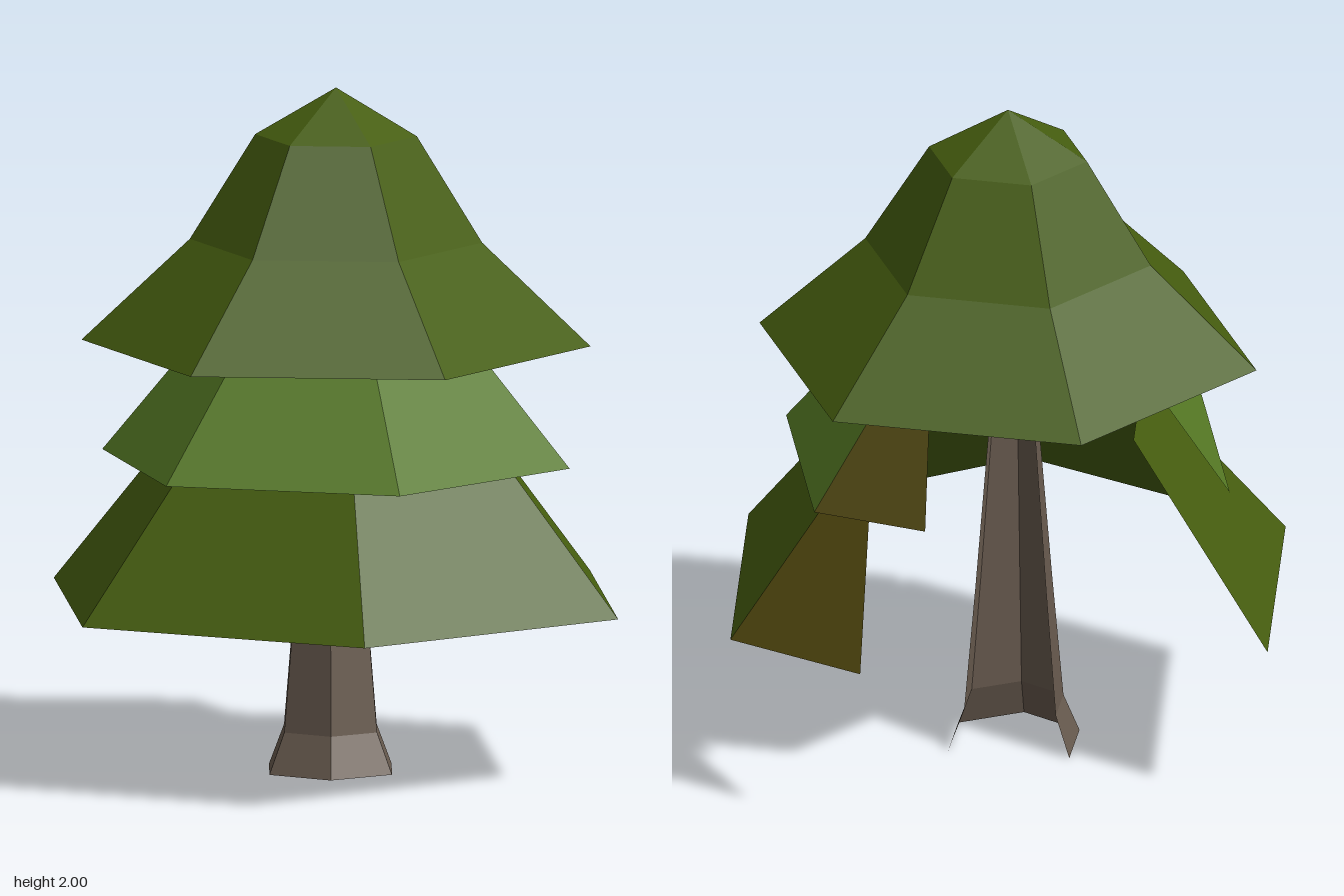
import * as THREE from 'three';

const DEG = Math.PI / 180;

function flat(name, color) {
  const m = new THREE.MeshStandardMaterial({ color, flatShading: true, side: THREE.DoubleSide });
  m.name = name;
  return m;
}

// Point on a ring; angle runs from +x towards +z
function ringPoint(angle, y, r) {
  return new THREE.Vector3(r * Math.cos(angle * DEG), y, r * Math.sin(angle * DEG));
}

// Faceted open shell: each face spans 60 degrees, ending at lastAngle
function shell(name, profile, lastAngle, faces, material) {
  const points = profile.map(([y, r]) => new THREE.Vector2(r, y));
  const geometry = new THREE.LatheGeometry(points, faces, (90 - lastAngle) * DEG, faces * 60 * DEG);
  const mesh = new THREE.Mesh(geometry, material);
  mesh.name = name;
  return mesh;
}

// Triangular flap beside the opening at the back of a skirt
function flap(name, [[y0, r0], [y1, r1]], angle, material) {
  const corner = ringPoint(angle, y0, r0);
  const middle = corner.clone().lerp(ringPoint(angle - 60, y0, r0), 0.5);
  const geometry = new THREE.BufferGeometry().setFromPoints([corner, middle, ringPoint(angle, y1, r1)]);
  geometry.computeVertexNormals();
  const mesh = new THREE.Mesh(geometry, material);
  mesh.name = name;
  return mesh;
}

export function createModel() {
  const bark = flat('bark brown', 0x6a5c50);
  const olive = flat('olive foliage', 0x465e0f);
  const green = flat('light green foliage', 0x567a24);
  const brown = flat('olive brown', 0x4c430d);

  const tree = new THREE.Group();
  tree.name = 'tree';

  // Trunk with a flared foot, open towards the back
  const trunk = shell('trunk', [[0, 0.205], [0.12, 0.155], [0.5, 0.12], [1.03, 0.075]], 185, 4, bark);
  trunk.position.set(-0.012, 0, 0.012);
  tree.add(trunk);

  // Two lower skirts, open at the back
  const skirts = [
    { name: 'lowerSkirt', profile: [[0.5, 0.9], [1.06, 0.435]], angle: 180, material: olive },
    { name: 'middleSkirt', profile: [[0.91, 0.7], [1.43, 0.27]], angle: 170, material: green },
  ];
  for (const { name, profile, angle, material } of skirts) {
    tree.add(shell(name, profile, angle, 4, material));
    tree.add(flap(name + 'Flap', profile, angle - 240, brown));
  }

  // Closed crown
  tree.add(shell('crown', [[1.25, 0.74], [1.55, 0.425], [1.86, 0.235], [2, 0]], 40, 6, olive));
  return tree;
}
